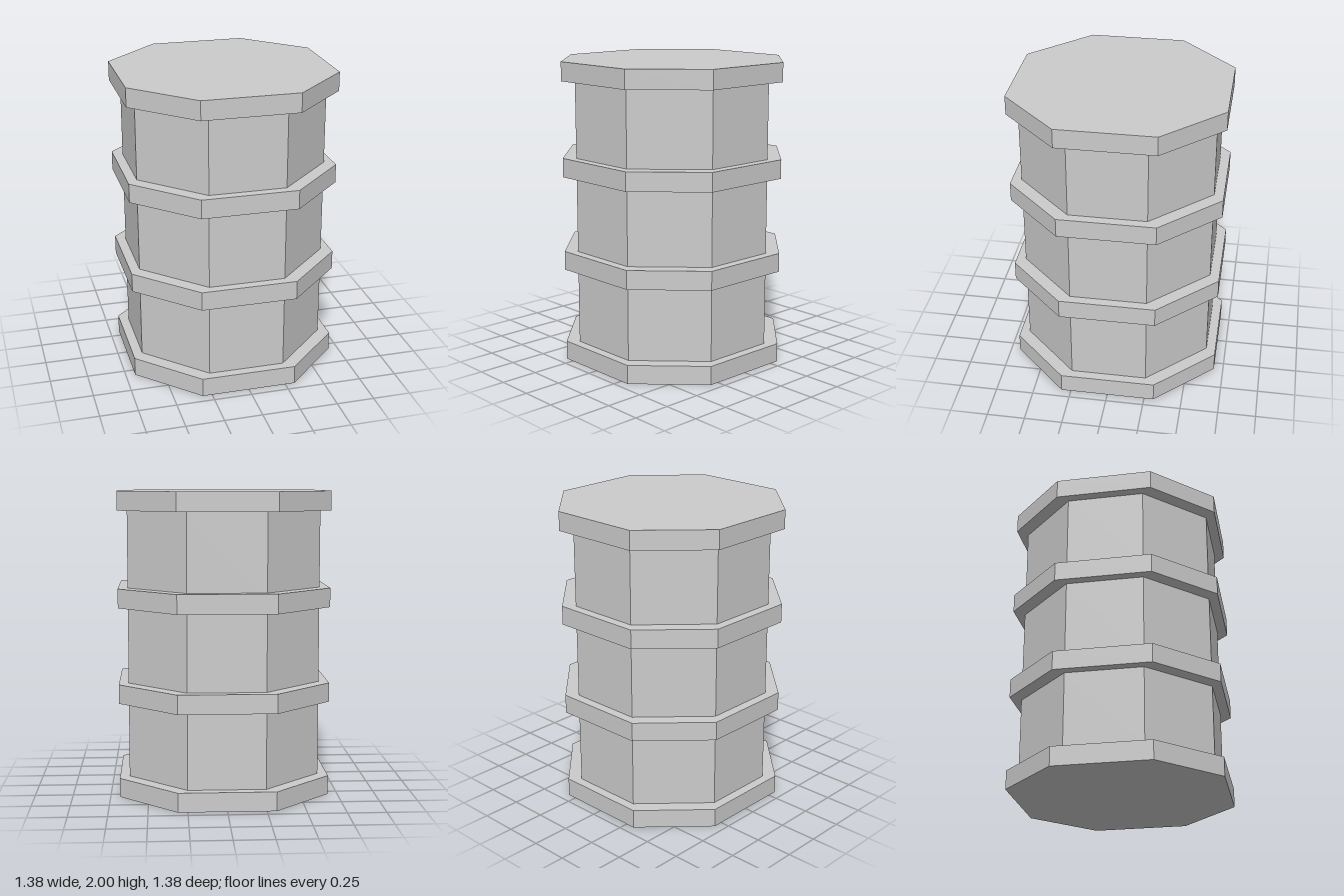
import * as THREE from 'three';

const material = new THREE.MeshStandardMaterial({ color: 0xcccccc, flatShading: true });

// Upright octagonal prism: half = half width, flat = half length of the axis-facing sides
function octagonPrism(name, half, flat, y0, y1) {
  const corners = [
    [half, -flat], [half, flat], [flat, half], [-flat, half],
    [-half, flat], [-half, -flat], [-flat, -half], [flat, -half],
  ];
  const shape = new THREE.Shape(corners.map(([x, y]) => new THREE.Vector2(x, y)));
  const geometry = new THREE.ExtrudeGeometry(shape, { depth: y1 - y0, bevelEnabled: false });
  geometry.rotateX(-Math.PI / 2);
  geometry.translate(0, y0, 0);
  const mesh = new THREE.Mesh(geometry, material);
  mesh.name = name;
  return mesh;
}

export function createModel() {
  const barrel = new THREE.Group();
  barrel.name = 'barrel';

  const bandHeight = 0.125, spacing = 0.625;
  for (let i = 0; i < 4; i++) {
    const y = i * spacing;
    // Protruding band; the first and last also close the ends
    barrel.add(octagonPrism(`band${i + 1}`, 0.6875, 0.3125, y, y + bandHeight));
    // Recessed wall up to the next band
    if (i < 3) barrel.add(octagonPrism(`wall${i + 1}`, 0.625, 0.25, y + bandHeight, y + spacing));
  }
  return barrel;
}
